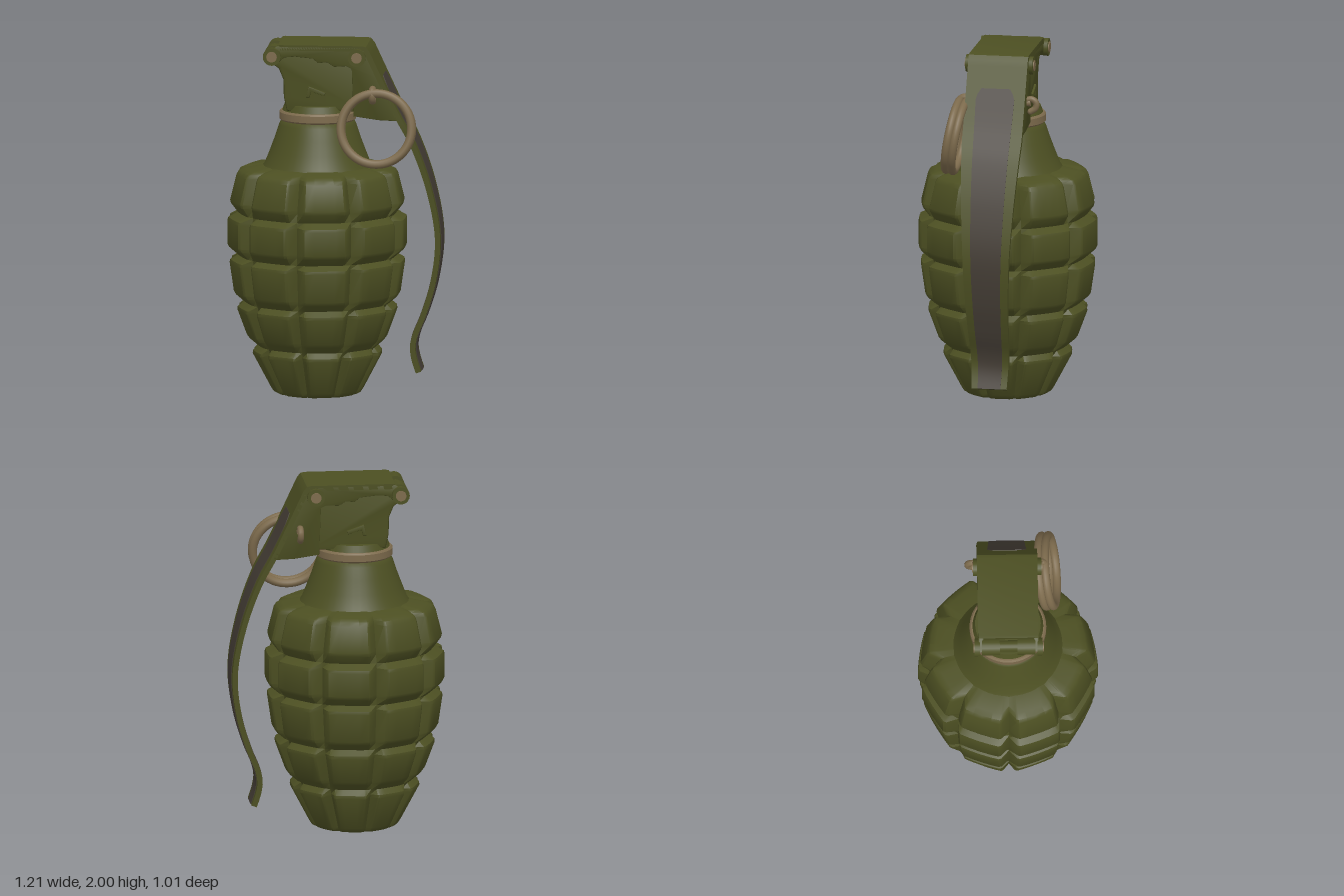
import * as THREE from 'three';
import { toCreasedNormals } from 'three/addons/utils/BufferGeometryUtils.js';

const AXIS = -0.107; // x of the body's upright axis

function buildFromGrid(positions, index, crease = 0.6) {
  const g = new THREE.BufferGeometry();
  g.setAttribute('position', new THREE.Float32BufferAttribute(positions, 3));
  g.setIndex(index);
  return toCreasedNormals(g, crease);
}

// Segmented body: a profile swept round nine V-grooved blocks
function bodyGeometry() {
  // [height, block radius, vertical groove radius]
  const rows = [
    [0, 0.001, 0.001], [0, 0.225, 0.21], [0.012, 0.25, 0.222], [0.03, 0.262, 0.23],
    [0.225, 0.366, 0.318], [0.243, 0.364, 0.325], [0.272, 0.338, 0.335], [0.31, 0.383, 0.348], [0.33, 0.398, 0.355],
    [0.475, 0.452, 0.4], [0.493, 0.45, 0.405], [0.522, 0.415, 0.412], [0.56, 0.46, 0.418], [0.58, 0.472, 0.42],
    [0.745, 0.496, 0.438], [0.762, 0.492, 0.44], [0.787, 0.448, 0.443], [0.83, 0.498, 0.445], [0.85, 0.508, 0.446],
    [0.985, 0.508, 0.446], [1.002, 0.503, 0.446], [1.03, 0.45, 0.443], [1.08, 0.488, 0.435], [1.1, 0.493, 0.432],
    [1.245, 0.457, 0.395], [1.268, 0.443, 0.385], [1.283, 0.41, 0.36], [1.3, 0.3, 0.285],
  ];
  // [degrees from groove, share of block height, flattening]
  const steps = [[0, 0, 1], [5.2, 0.88, 1], [7, 1, 1], [13, 1, 0.99], [20, 1, 0.986],
    [27, 1, 0.99], [33, 1, 1], [34.8, 0.88, 1]];
  const pos = [], index = [], n = 9 * steps.length;
  for (const [y, outer, inner] of rows) {
    for (let s = 0; s < 9; s++) {
      for (const [deg, share, flat] of steps) {
        const a = THREE.MathUtils.degToRad(20 + s * 40 + deg);
        const r = THREE.MathUtils.lerp(inner, outer, share) * flat;
        pos.push(AXIS + r * Math.cos(a), y, -r * Math.sin(a));
      }
    }
  }
  for (let j = 0; j < rows.length - 1; j++) {
    for (let i = 0; i < n; i++) {
      const a = j * n + i, b = j * n + (i + 1) % n;
      index.push(a, b, b + n, a, b + n, a + n);
    }
  }
  return buildFromGrid(pos, index);
}

// Flat strip following [x, y, halfWidth] points; offset moves it along its outward normal
function ribbonGeometry(path, thickness, offset = 0) {
  const pos = [], index = [];
  path.forEach(([x, y, w], i) => {
    const p = path[Math.max(i - 1, 0)], q = path[Math.min(i + 1, path.length - 1)];
    const len = Math.hypot(q[0] - p[0], q[1] - p[1]);
    const nx = -(q[1] - p[1]) / len, ny = (q[0] - p[0]) / len;
    for (const [d, z] of [[offset, w], [offset, -w], [offset - thickness, -w], [offset - thickness, w]]) {
      pos.push(x + nx * d, y + ny * d, z);
    }
  });
  for (let j = 0; j < path.length - 1; j++) {
    for (let k = 0; k < 4; k++) {
      const a = j * 4 + k, b = j * 4 + (k + 1) % 4;
      index.push(a, a + 4, b + 4, a, b + 4, b);
    }
  }
  const e = (path.length - 1) * 4;
  index.push(0, 1, 2, 0, 2, 3, e, e + 2, e + 1, e, e + 3, e + 2);
  return buildFromGrid(pos, index);
}

function extrude(points, depth, bevel) {
  const shape = new THREE.Shape(points.map(([x, y]) => new THREE.Vector2(x, y)));
  const g = new THREE.ExtrudeGeometry(shape, {
    depth: depth - 2 * bevel, bevelEnabled: true, bevelSize: bevel, bevelOffset: -bevel,
    bevelThickness: bevel, bevelSegments: 2,
  });
  g.translate(0, 0, bevel - depth / 2);
  return toCreasedNormals(g, 0.6);
}

export function createModel() {
  const model = new THREE.Group();
  const colour = (name, hex) => {
    const m = new THREE.MeshStandardMaterial({ color: hex });
    m.name = name;
    return m;
  };
  const green = colour('olive green', 0x4c4f22);
  const tan = colour('dull brass', 0x7c6a4c);
  const dark = colour('dark brown', 0x443d35);

  const add = (name, geometry, material, x = 0, y = 0, z = 0) => {
    const mesh = new THREE.Mesh(geometry, material);
    mesh.name = name;
    mesh.position.set(x, y, z);
    model.add(mesh);
    return mesh;
  };
  const rod = (name, r, length, material, x, y, z = 0) => {
    add(name, new THREE.CylinderGeometry(r, r, length, 20), material, x, y, z).rotation.x = Math.PI / 2;
  };

  // Body, neck and collar
  add('body', bodyGeometry(), green);
  const neck = [[0.325, 1.275], [0.298, 1.31], [0.27, 1.38], [0.24, 1.46], [0.217, 1.53], [0.2, 1.565], [0.15, 1.57]];
  add('neck', new THREE.LatheGeometry(neck.map(p => new THREE.Vector2(...p)), 48), green, AXIS);
  const collar = [[0.001, 1.555], [0.207, 1.555], [0.216, 1.564], [0.216, 1.602], [0.207, 1.612], [0.001, 1.612]];
  add('collar', toCreasedNormals(new THREE.LatheGeometry(collar.map(p => new THREE.Vector2(...p)), 48), 0.6), tan, AXIS);
  add('flange', new THREE.CylinderGeometry(0.185, 0.2, 0.04, 48), green, AXIS, 1.63);

  // Head casting with a small raised mark on both faces
  add('head', extrude([[-0.27, 1.62], [-0.287, 1.7], [-0.29, 1.8], [-0.315, 1.86], [-0.37, 1.9],
    [-0.35, 1.96], [0.16, 1.97], [0.16, 1.62]], 0.29, 0.02), green);
  for (const side of [1, -1]) {
    add('headMark', extrude([[-0.16, 1.7], [-0.145, 1.765], [-0.05, 1.73], [-0.055, 1.71], [-0.13, 1.735], [-0.14, 1.7]],
      0.02, 0.004), green, 0, 0, side * 0.147);
  }

  // Lever: flat top, then a long curved strap
  const bend = new THREE.CatmullRomCurve3([[0.2, 1.97], [0.27, 1.82], [0.365, 1.62], [0.46, 1.44], [0.55, 1.18],
    [0.597, 0.9], [0.57, 0.65], [0.51, 0.45], [0.465, 0.34], [0.453, 0.27], [0.465, 0.2], [0.485, 0.14]]
    .map(([x, y]) => new THREE.Vector3(x, y, 0)));
  const halfWidth = y => y > 1.55 ? 0.17
    : y > 0.95 ? THREE.MathUtils.mapLinear(y, 0.95, 1.55, 0.134, 0.17)
      : THREE.MathUtils.mapLinear(y, 0.14, 0.95, 0.1, 0.134);
  const strap = bend.getSpacedPoints(60).map(p => [p.x, p.y, halfWidth(p.y)]);
  add('lever', ribbonGeometry([[-0.32, 1.998, 0.165], [-0.305, 2, 0.17], [0.16, 2, 0.17], [0.18, 1.995, 0.17],
    ...strap], 0.03), green);

  // Dark panels on the outside and inside of the strap
  const panel = top => strap.filter(p => p[1] < top).map(([x, y], i) =>
    [x, y, THREE.MathUtils.mapLinear(y, 0.14, 1.83, 0.065, 0.112) - [0.03, 0.01][i] * 1 || THREE.MathUtils.mapLinear(y, 0.14, 1.83, 0.065, 0.112)]);
  add('outerPanel', ribbonGeometry(panel(1.85), 0.006, 0.003), dark);
  add('innerPanel', ribbonGeometry(panel(1.56), 0.006, -0.027), dark);

  // Lever cheeks, pivots and hinge barrel, mirrored front and back
  const cheek = [[-0.37, 1.905], [-0.385, 1.95], [-0.32, 1.995], [0.17, 1.995], [0.195, 1.96], [0.262, 1.82],
    [0.375, 1.575], [0.25, 1.58], [0.11, 1.6], [0.1, 1.87], [0.07, 1.885], [0.0, 1.88], [-0.04, 1.905],
    [-0.09, 1.9], [-0.12, 1.925], [-0.22, 1.935], [-0.28, 1.93], [-0.32, 1.895]];
  for (const side of [1, -1]) {
    add('leverCheek', extrude(cheek, 0.03, 0.006), green, 0, 0, side * 0.155);
    rod('hingeKnuckle', 0.052, 0.1, green, -0.345, 1.94, side * 0.1);
    for (const x of [-0.35, 0.13]) {
      rod('pivotBoss', 0.05, 0.03, green, x, 1.935, side * 0.177);
      rod('pivotPin', 0.03, 0.03, tan, x, 1.935, side * 0.183);
    }
  }
  rod('hingeBarrel', 0.033, 0.3, green, -0.345, 1.94);

  // Safety pin with an eye at the front and a bent end at the back
  rod('safetyPin', 0.02, 0.38, tan, 0.22, 1.74);
  add('pinEye', new THREE.TorusGeometry(0.034, 0.02, 10, 24), tan, 0.22, 1.725, 0.185).rotation.y = Math.PI / 2;
  const hook = new THREE.CatmullRomCurve3([[1.755, -0.16], [1.76, -0.2], [1.74, -0.222], [1.71, -0.218], [1.69, -0.19]]
    .map(([y, z]) => new THREE.Vector3(0.22, y, z)));
  add('pinHook', new THREE.TubeGeometry(hook, 16, 0.018, 10), tan);
  add('pinHookTip', new THREE.SphereGeometry(0.018, 10, 8), tan, 0.22, 1.69, -0.19);

  // Split pull ring: two coils side by side, hanging at a slight tilt
  const ring = new THREE.Group();
  ring.name = 'pullRing';
  for (const side of [1, -1]) {
    const coil = new THREE.Mesh(new THREE.TorusGeometry(0.2, 0.024, 12, 56), tan);
    coil.name = 'ringCoil';
    coil.position.z = side * 0.019;
    ring.add(coil);
  }
  ring.position.set(0.245, 1.54, 0.228);
  ring.rotation.x = -0.17;
  model.add(ring);

  return model;
}
